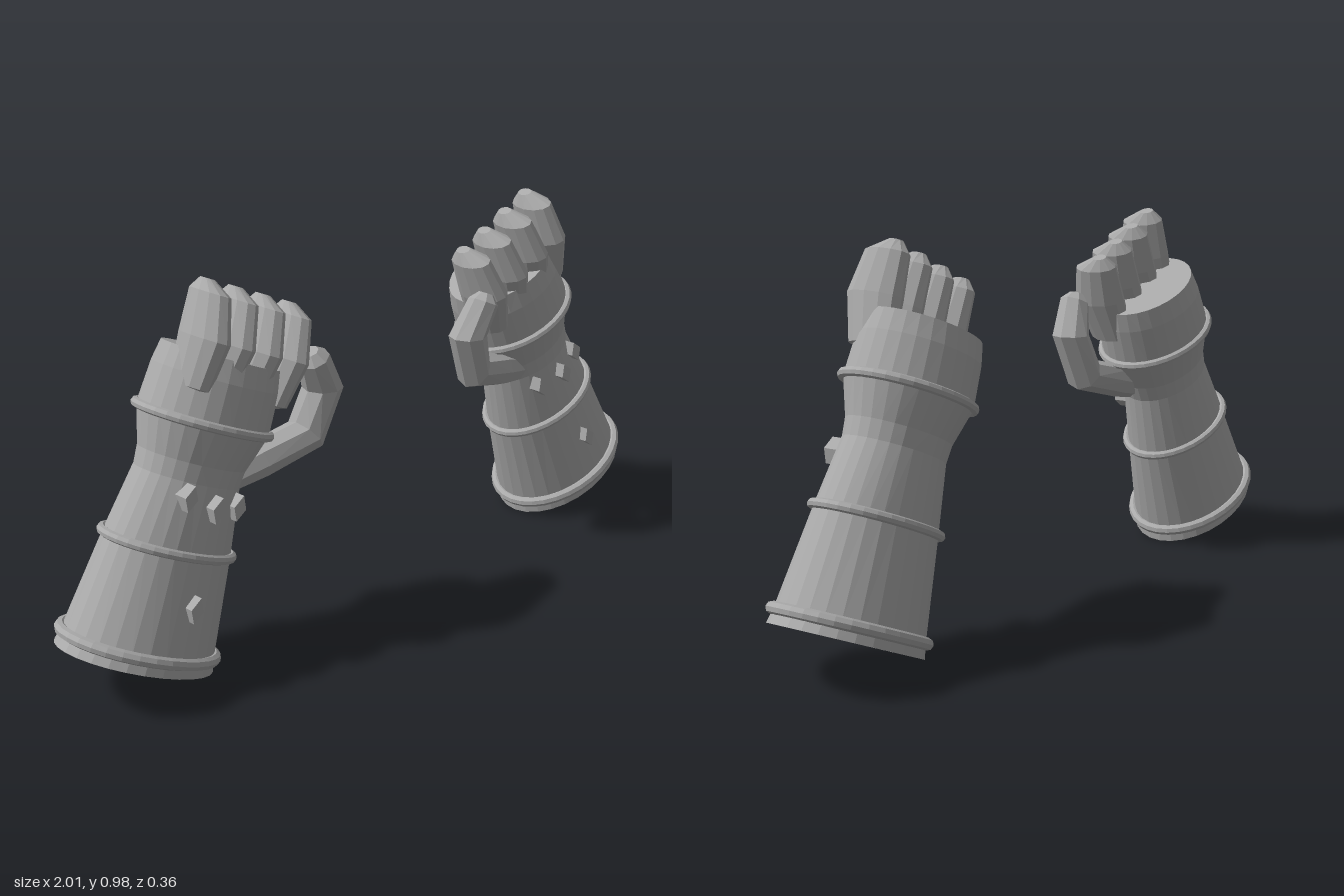
import * as THREE from 'three';

const grey = new THREE.MeshStandardMaterial({ color: 0xa9a9a9, flatShading: true });
grey.name = 'steel grey';

const TILT = THREE.MathUtils.degToRad(24);
const Z = new THREE.Vector3(0, 0, 1);

// Surface through elliptical rings: { c: centre, a: half-axis vector, b: half-axis vector }
function loft(rings, sides) {
  const pos = [], idx = [];
  for (const { c, a, b } of rings) {
    for (let j = 0; j < sides; j++) {
      const w = (j / sides) * Math.PI * 2;
      const p = c.clone().addScaledVector(a, Math.cos(w)).addScaledVector(b, Math.sin(w));
      pos.push(p.x, p.y, p.z);
    }
  }
  for (let i = 0; i < rings.length - 1; i++) {
    for (let j = 0; j < sides; j++) {
      const k = (j + 1) % sides;
      const p = i * sides + j, q = i * sides + k;
      idx.push(p, p + sides, q, q, p + sides, q + sides);
    }
  }
  const geo = new THREE.BufferGeometry();
  geo.setAttribute('position', new THREE.Float32BufferAttribute(pos, 3));
  geo.setIndex(idx);
  return geo;
}

// Horizontal ring at height y with half-widths rx and rz
const flatRing = (y, rx, rz, x = 0, z = 0) => ({
  c: new THREE.Vector3(x, y, z),
  a: new THREE.Vector3(rx, 0, 0),
  b: new THREE.Vector3(0, 0, rz),
});

// Closed oval band with a round section
function band(y, rx, rz, r) {
  const rings = [];
  for (let i = 0; i <= 8; i++) {
    const w = (i / 8) * Math.PI * 2, d = r * Math.cos(w);
    rings.push(flatRing(y + r * Math.sin(w), rx + d, rz + d));
  }
  return loft(rings, 32);
}

// Folded finger: heights with back and front z limits
function finger(x, lean) {
  const rows = [
    [0.64, 0.001, 0.02, 0.08], [0.65, 0.036, -0.015, 0.11], [0.765, 0.044, -0.015, 0.14],
    [0.868, 0.036, -0.012, 0.112], [0.897, 0.016, 0.012, 0.052], [0.897, 0, 0.03, 0.03],
  ];
  return loft(rows.map(([y, rx, back, front]) =>
    flatRing(y, rx, (front - back) / 2, x - (0.897 - y) * lean, (front + back) / 2)), 12);
}

// Bent thumb following a few joints, square to its path
function thumb() {
  const joints = [
    [-0.08, 0.45, 0.04, 0.04], [-0.157, 0.508, 0.055, 0.047], [-0.27, 0.597, 0.08, 0.05],
    [-0.265, 0.72, 0.095, 0.05], [-0.19, 0.782, 0.11, 0.04], [-0.172, 0.797, 0.11, 0.02],
    [-0.172, 0.797, 0.11, 0],
  ];
  const pts = joints.map(([x, y, z]) => new THREE.Vector3(x, y, z));
  const rings = joints.map((joint, i) => {
    const t = pts[Math.min(i + 1, 5)].clone().sub(pts[Math.min(Math.max(i - 1, 0), 4)]);
    t.z = 0;
    t.normalize();
    const a = new THREE.Vector3().crossVectors(t, Z).multiplyScalar(joint[3]);
    return { c: pts[i], a, b: Z.clone().multiplyScalar(joint[3] * 1.05) };
  });
  return loft(rings, 8);
}

// Diamond stud standing out of the front
function stud(x, y, z) {
  const shape = new THREE.Shape();
  shape.moveTo(0, -0.032);
  shape.lineTo(0.02, 0);
  shape.lineTo(0, 0.032);
  shape.lineTo(-0.02, 0);
  shape.closePath();
  return new THREE.ExtrudeGeometry(shape, { depth: 0.045, bevelEnabled: false })
    .translate(x, y, z - 0.045);
}

function createGauntlet(side) {
  const group = new THREE.Group();
  group.name = side > 0 ? 'leftGauntlet' : 'rightGauntlet';

  const add = (name, source) => {
    const geo = source.index ? source.toNonIndexed() : source;
    if (side < 0) {
      // mirror across x and restore the corner order
      geo.scale(-1, 1, 1);
      const p = geo.attributes.position;
      const u = new THREE.Vector3(), v = new THREE.Vector3();
      for (let i = 0; i < p.count; i += 3) {
        u.fromBufferAttribute(p, i + 1);
        v.fromBufferAttribute(p, i + 2);
        p.setXYZ(i + 1, v.x, v.y, v.z);
        p.setXYZ(i + 2, u.x, u.y, u.z);
      }
    }
    geo.computeVertexNormals();
    const mesh = new THREE.Mesh(geo, grey);
    mesh.name = name;
    group.add(mesh);
  };

  // Hollow sleeve: inside wall, rim, outside wall, top of the hand
  const sleeve = [
    [0.43, 0, 0], [0.43, 0.1, 0.075], [0.26, 0.14, 0.09], [-0.014, 0.17, 0.112],
    [-0.014, 0.215, 0.163], [0.022, 0.205, 0.158], [0.269, 0.175, 0.128],
    [0.435, 0.143, 0.112], [0.48, 0.147, 0.116], [0.575, 0.175, 0.145],
    [0.68, 0.17, 0.138], [0.733, 0.163, 0.127], [0.733, 0, 0],
  ];
  add('sleeveAndHand', loft(sleeve.map((s) => flatRing(...s)), 28));

  add('cuffBand', band(0.022, 0.207, 0.163, 0.015));
  add('forearmBand', band(0.269, 0.177, 0.134, 0.012));
  add('knuckleBand', band(0.575, 0.177, 0.147, 0.012));

  // Fingers, from the outer side inward
  for (let i = 0; i < 4; i++) add('finger' + (i + 1), finger(0.141 - i * 0.092, i ? 0.02 : 0.1));
  add('thumb', thumb());

  // Three studs across the wrist and one on the forearm
  const studs = [[0.081, 0.402, 0.122], [0.003, 0.388, 0.141], [-0.08, 0.397, 0.122], [0.002, 0.152, 0.162]];
  studs.forEach((s, i) => add('stud' + (i + 1), stud(...s)));

  group.position.set(side * 0.805, 0.1, 0);
  group.rotation.z = side * TILT;
  return group;
}

export function createModel() {
  const model = new THREE.Group();
  model.name = 'gauntlets';
  model.add(createGauntlet(1), createGauntlet(-1));
  return model;
}
